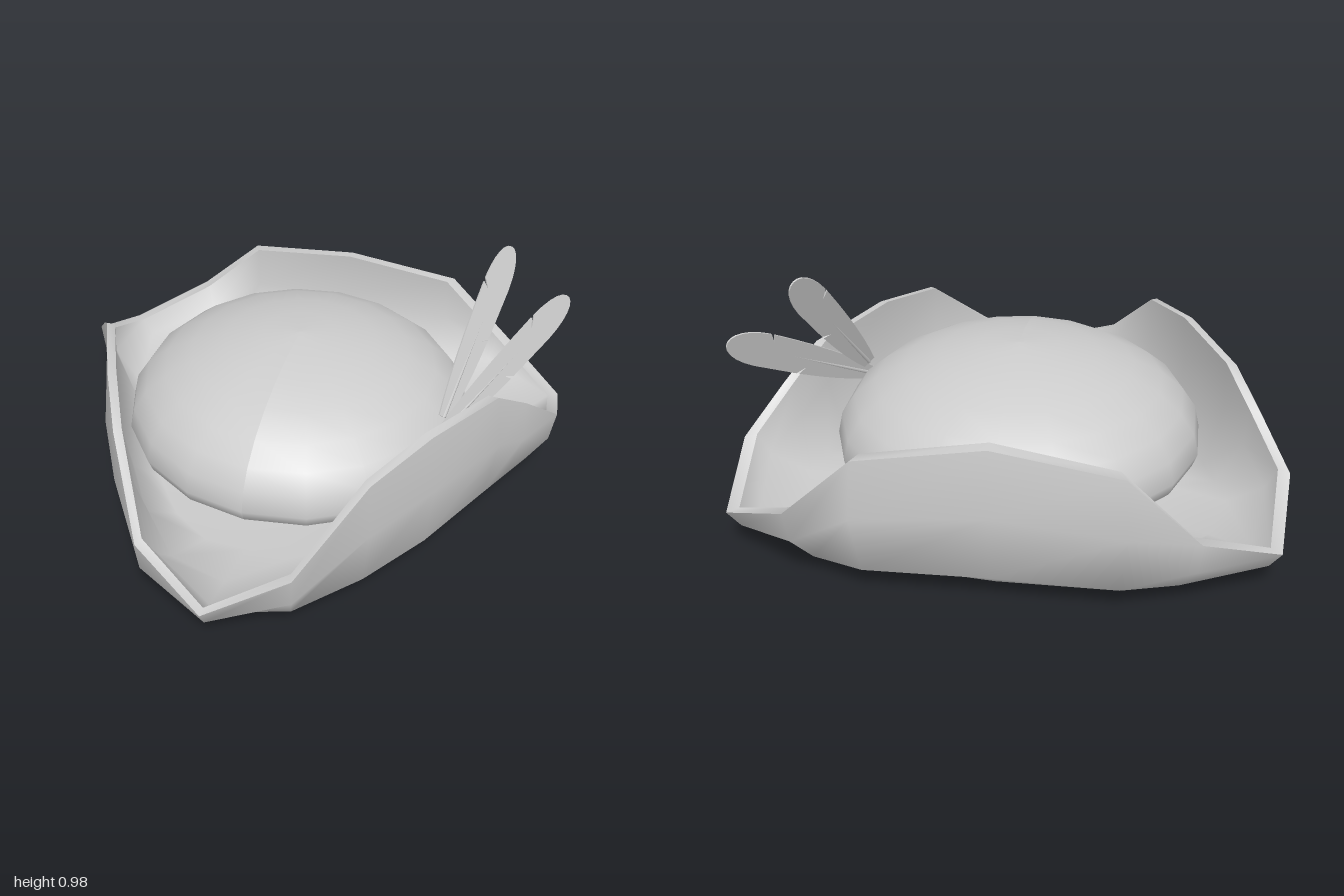
import * as THREE from 'three';

const lerp = THREE.MathUtils.lerp;

// Right half of the folded rim, front tip to back middle: x, y, z, closeness to a corner
const HALF = [
  [0, 0.17, 0.94, 1], [0.29, 0.30, 0.81, 0.7], [0.48, 0.55, 0.53, 0.25],
  [0.63, 0.59, 0.25, 0], [0.80, 0.56, -0.10, 0.15], [0.89, 0.45, -0.25, 0.4],
  [1, 0.30, -0.42, 0.75], [0.97, 0.17, -0.74, 1], [0.70, 0.30, -0.92, 0.75],
  [0.45, 0.53, -0.935, 0.2], [0, 0.59, -0.91, 0],
];
const RIM = [...HALF, ...HALF.slice(1, -1).reverse().map(([x, y, z, t]) => [-x, y, z, t])];

// Ring of points: the rim scaled in plan, with its own scale for sides and corners
function ring(side, corner, height) {
  return RIM.map(([x, y, z, t]) => {
    const s = lerp(side, corner, t);
    return [x * s, height(y, t), z * s];
  });
}

// Skin between successive rings
function loft(rings) {
  const n = RIM.length, index = [];
  for (let r = 0; r < rings.length - 1; r++) {
    for (let i = 0; i < n; i++) {
      const j = (i + 1) % n, a = r * n + i, b = r * n + j;
      index.push(a, b, b + n, a, b + n, a + n);
    }
  }
  const g = new THREE.BufferGeometry();
  g.setAttribute('position', new THREE.Float32BufferAttribute(rings.flat(2), 3));
  g.setIndex(index);
  g.computeVertexNormals();
  return g;
}

// Long paddle outline with a narrow root and small cuts in its edges
function featherShape(length, width) {
  const w = width / 2, s = new THREE.Shape();
  s.moveTo(-w * 0.4, 0);
  s.lineTo(w * 0.4, 0);
  s.quadraticCurveTo(w * 0.85, length * 0.2, w * 0.95, length * 0.48);
  s.lineTo(w * 0.5, length * 0.46);
  s.lineTo(w * 0.96, length * 0.5);
  s.lineTo(w, length * 0.78);
  s.bezierCurveTo(w * 0.95, length * 0.93, w * 0.5, length, 0, length);
  s.bezierCurveTo(-w * 0.5, length, -w * 0.95, length * 0.93, -w, length * 0.78);
  s.lineTo(-w * 0.5, length * 0.73);
  s.lineTo(-w, length * 0.76);
  s.quadraticCurveTo(-w * 0.95, length * 0.3, -w * 0.4, 0);
  return s;
}

function feather(name, base, tip, across, width, material) {
  const from = new THREE.Vector3(...base);
  const along = new THREE.Vector3(...tip).sub(from);
  const length = along.length();
  along.normalize();
  const side = new THREE.Vector3(...across);
  side.addScaledVector(along, -side.dot(along)).normalize();
  const normal = new THREE.Vector3().crossVectors(side, along);

  const group = new THREE.Group();
  group.name = name;
  const bladeGeometry = new THREE.ExtrudeGeometry(featherShape(length, width),
    { depth: 0.006, bevelEnabled: false, curveSegments: 6 });
  bladeGeometry.translate(0, 0, -0.003);
  const blade = new THREE.Mesh(bladeGeometry, material);
  blade.name = name + 'Blade';
  // Raised central quill
  const quill = new THREE.Mesh(new THREE.CylinderGeometry(0.003, 0.008, length * 0.6, 6), material);
  quill.position.y = length * 0.3;
  quill.name = name + 'Quill';
  group.add(blade, quill);
  group.quaternion.setFromRotationMatrix(new THREE.Matrix4().makeBasis(side, along, normal));
  group.position.copy(from);
  return group;
}

export function createModel() {
  const model = new THREE.Group();
  model.name = 'foldedPouch';
  const grey = new THREE.MeshStandardMaterial({ color: 0xcccccc });
  grey.name = 'lightGrey';
  const add = (name, geometry) => {
    const mesh = new THREE.Mesh(geometry, grey);
    mesh.name = name;
    model.add(mesh);
    return mesh;
  };

  // Three-cornered pouch: outer skin, flat rim, inner skin
  const rim = ring(1, 1, (y) => y);
  const innerRim = ring(0.95, 0.96, (y) => y + 0.005);
  add('pouchOutside', loft([
    ring(0, 0, () => 0),
    ring(0.86, 0.56, () => 0),
    ring(1.0, 0.87, (y, t) => lerp(0.1, 0.07, t)),
    ring(1.04, 0.96, (y) => y * 0.6),
    rim,
  ]));
  add('pouchRim', loft([rim, innerRim]));
  add('pouchInside', loft([
    innerRim,
    ring(0.97, 0.9, (y) => y * 0.62 + 0.03),
    ring(0.9, 0.75, (y, t) => lerp(0.13, 0.11, t)),
    ring(0.75, 0.5, () => 0.06),
    ring(0, 0, () => 0.06),
  ]));

  // Flattened round filling, shallower below its widest line
  const ballGeometry = new THREE.SphereGeometry(1, 18, 14, Math.PI / 2);
  const p = ballGeometry.attributes.position;
  for (let i = 0; i < p.count; i++) {
    const y = p.getY(i);
    p.setXYZ(i, p.getX(i) * 0.685, 0.28 + y * (y > 0 ? 0.36 : 0.21), p.getZ(i) * 0.685);
  }
  ballGeometry.computeVertexNormals();
  add('filling', ballGeometry).position.z = -0.175;

  // Two feathers tucked in at the left side
  model.add(
    feather('uprightFeather', [0.61, 0.46, -0.05], [0.73, 0.97, -0.51], [0.0825, -0.0825, -0.061], 0.13, grey),
    feather('leaningFeather', [0.61, 0.40, -0.02], [0.965, 0.755, -0.57], [0.066, -0.115, -0.031], 0.135, grey),
  );
  return model;
}
